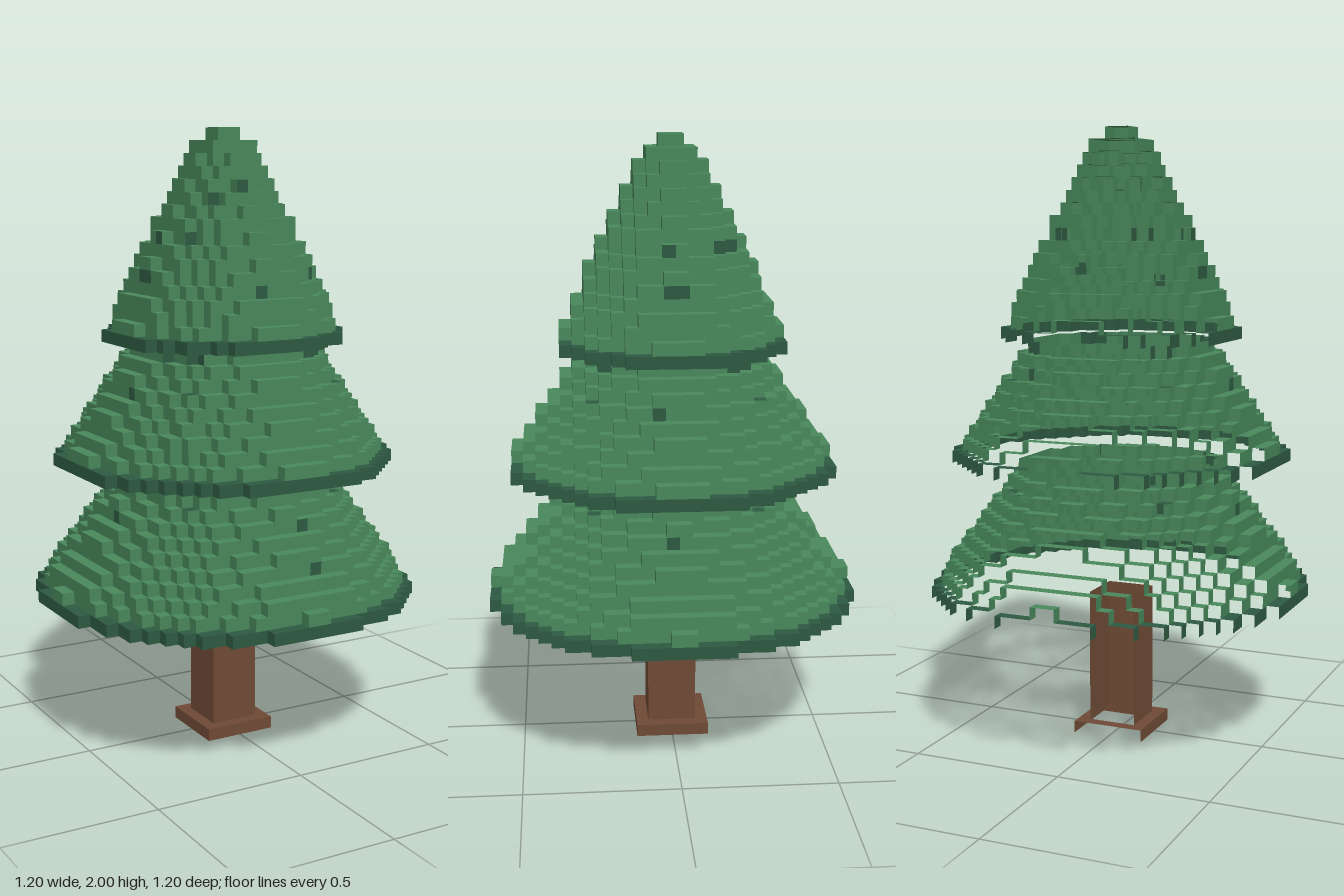
import * as THREE from 'three';

const CELL = 0.04;

const material = (name, hex) => {
  const m = new THREE.MeshStandardMaterial({ color: hex, side: THREE.DoubleSide });
  m.name = name;
  return m;
};

// Unit-cell faces in use: front, both sides and top (the back and underside are open)
const FACES = [
  { dir: [0, 0, 1], quad: [[0, 0, 1], [1, 0, 1], [1, 1, 1], [0, 1, 1]] },
  { dir: [1, 0, 0], quad: [[1, 0, 1], [1, 0, 0], [1, 1, 0], [1, 1, 1]] },
  { dir: [-1, 0, 0], quad: [[0, 0, 0], [0, 0, 1], [0, 1, 1], [0, 1, 0]] },
  { dir: [0, 1, 0], quad: [[0, 1, 1], [1, 1, 1], [1, 1, 0], [0, 1, 0]] },
];

// Tree tiers: first layer, then the radius of every layer counted in cells
const ramp = (start, step, count) => Array.from({ length: count }, (_, i) => start - i * step);
const TIERS = [
  { name: 'lowerBoughs', base: 12, radii: [15.15, 14.54, ...ramp(13.98, 0.74, 9)] },
  { name: 'middleBoughs', base: 23, radii: [13.3, 12.65, ...ramp(12, 0.66, 8)] },
  { name: 'upperBoughs', base: 33, radii: [9.3, 8.7, ...ramp(8.4, 0.46, 14), 1] },
];
const layerRadius = [];
TIERS.forEach((t) => t.radii.forEach((r, i) => { layerRadius[t.base + i] = r; }));

const inFoliage = (x, y, z) => Math.hypot(x + 0.5, z + 0.5) <= (layerRadius[y] ?? 0);

// The trunk stands on a wider one-layer plinth
const inTrunk = (x, y, z) => {
  const h = y === 0 ? 3 : 2;
  return y >= 0 && y < 12 && x >= -h && x < h && z >= -h && z < h;
};

// Dark needle flecks as [across, height] in cells
const FRONT_FLECKS = [[-3, 44], [-1, 45], [-5, 41], [5, 38], [-1, 37], [-7, 32], [-6, 32],
  [4, 32], [5, 32], [-7, 22], [-6, 22], [1, 19], [1, 16]];
const SIDE_FLECKS = [[0, 41], [-4, 41], [-5, 41], [0, 38], [-1, 38], [5, 32], [-6, 32],
  [-5, 32], [1, 29], [6, 22], [0, 19]];
const has = (list, a, b) => list.some(([u, v]) => u === a && v === b);
const isFleck = (x, y, z, dir) => {
  if (dir[2]) return has(FRONT_FLECKS, x, y);
  if (dir[0]) return has(SIDE_FLECKS, z, y);
  return [-7, 6].includes(x) && [-7, 6].includes(z);
};

// Collects the exposed faces of a block shape, sorted into buckets
function collect(inside, y0, y1, reach, bucketOf) {
  const buckets = {};
  for (let y = y0; y < y1; y++)
    for (let x = -reach; x < reach; x++)
      for (let z = -reach; z < reach; z++) {
        if (!inside(x, y, z)) continue;
        for (const { dir, quad } of FACES) {
          if (inside(x + dir[0], y + dir[1], z + dir[2])) continue;
          const list = (buckets[bucketOf(x, y, z, dir)] ??= []);
          for (const c of [0, 1, 2, 0, 2, 3]) {
            const p = quad[c];
            list.push((x + p[0]) * CELL, (y + p[1]) * CELL, (z + p[2]) * CELL);
          }
        }
      }
  return buckets;
}

function makeMesh(name, positions, mat) {
  const geo = new THREE.BufferGeometry();
  geo.setAttribute('position', new THREE.Float32BufferAttribute(positions, 3));
  geo.computeVertexNormals();
  const mesh = new THREE.Mesh(geo, mat);
  mesh.name = name;
  return mesh;
}

export function createModel() {
  const tree = new THREE.Group();
  tree.name = 'pineTree';
  const mats = {
    needles: material('leaf green', 0x48875b),
    rim: material('dark green', 0x2d5a41),
    flecks: null,
    bark: material('bark brown', 0x6f4a35),
  };
  mats.flecks = mats.rim;

  // Three tiers of boughs, each with a dark bottom layer
  for (const { name, base, radii } of TIERS) {
    const tier = new THREE.Group();
    tier.name = name;
    const parts = collect(inFoliage, base, base + radii.length, 16, (x, y, z, dir) =>
      y === base ? 'rim' : isFleck(x, y, z, dir) ? 'flecks' : 'needles');
    for (const key in parts) tier.add(makeMesh(key, parts[key], mats[key]));
    tree.add(tier);
  }

  // Trunk and plinth; the trunk's hidden top stays open
  const wood = collect((x, y, z) => inTrunk(x, Math.min(y, 11), z), 0, 12, 3,
    (x, y) => (y === 0 ? 'plinth' : 'trunk'));
  for (const key in wood) tree.add(makeMesh(key, wood[key], mats.bark));

  return tree;
}
